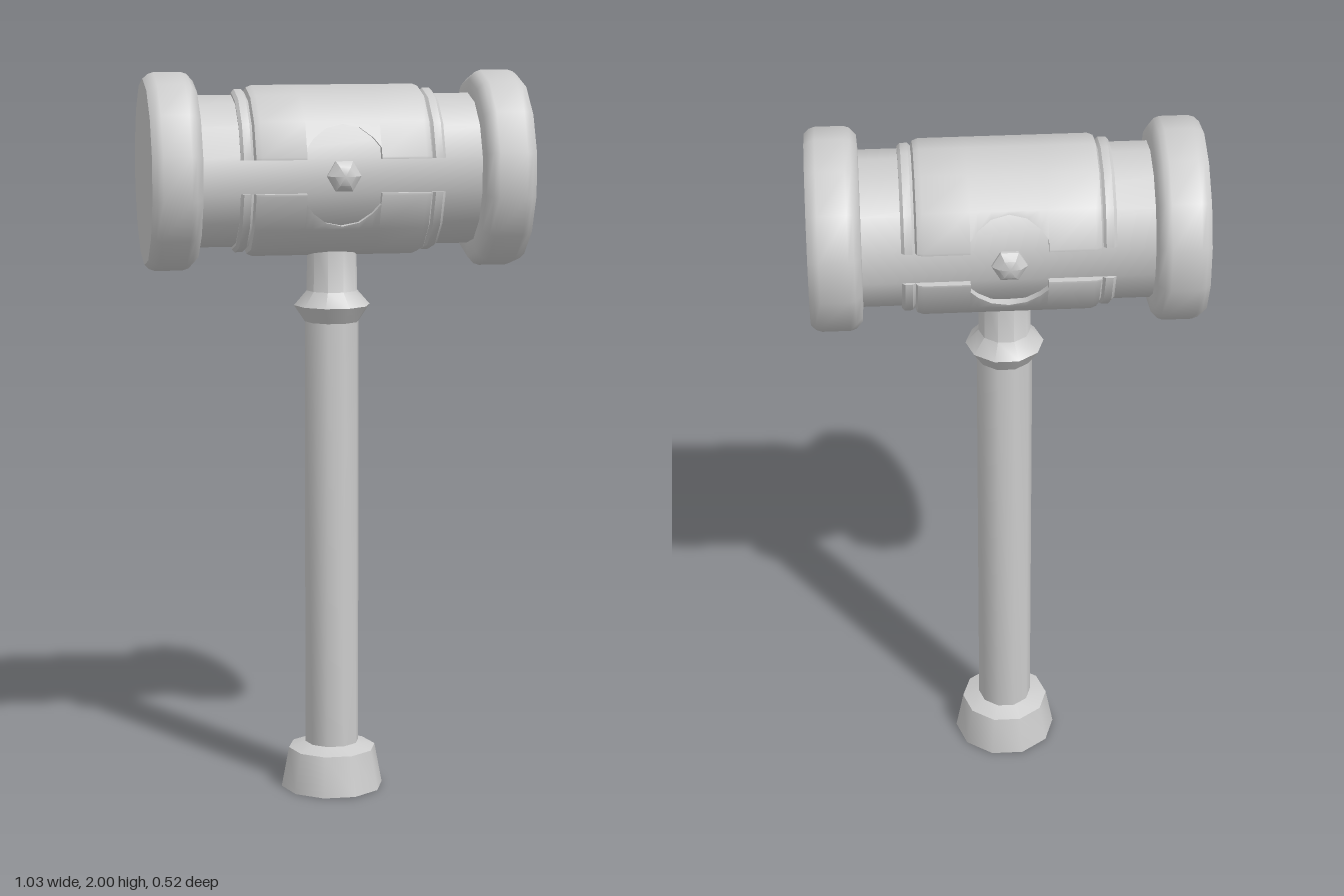
import * as THREE from 'three';
import { toCreasedNormals } from 'three/addons/utils/BufferGeometryUtils.js';

const SIDES = 14;        // facets round the hammer head
const HEAD_Y = 1.733;    // height of the head's axis
const SQUASH = 0.97;     // sleeve is slightly flatter front to back

const metal = new THREE.MeshStandardMaterial({ color: 0xcccccc });
metal.name = 'light grey';

function part(name, geometry, crease = 0.7) {
  const mesh = new THREE.Mesh(toCreasedNormals(geometry, crease), metal);
  mesh.name = name;
  return mesh;
}

// Turned solid from [radius, height] pairs, with a corner on the x axis
function turned(profile, sides) {
  const points = profile.map(([r, y]) => new THREE.Vector2(r, y));
  return new THREE.LatheGeometry(points, sides, Math.PI / 2);
}

// Corner k of the sleeve's cross-section, counted from the top
function corner(k, r) {
  const a = (k * 2 * Math.PI) / SIDES;
  return [r * Math.cos(a), r * Math.sin(a) * SQUASH];
}

// Depth of the faceted cross-section at height y
function depthAt(y, r) {
  for (let k = 0; k < 4; k++) {
    const [y0, z0] = corner(k, r);
    const [y1, z1] = corner(k + 1, r);
    if (y <= y0 && y >= y1) return z0 + ((z1 - z0) * (y0 - y)) / (y0 - y1);
  }
  return 0;
}

// Upper half of the sleeve: cross-sections along x, notched round the stud
function sleeveGeometry() {
  // [x, radius, height of the lower edge above the axis]
  const half = [
    [-0.275, 0.2, 0.045], [-0.275, 0.212, 0.045], [-0.267, 0.22, 0.045],
    [-0.247, 0.22, 0.045], [-0.24, 0.213, 0.045], [-0.235, 0.225, 0.045],
    [-0.22, 0.231, 0.045], [-0.1, 0.231, 0.045], [-0.1, 0.231, 0.075],
    [-0.08, 0.231, 0.1], [-0.045, 0.231, 0.126],
  ];
  const mirrored = half.map(([x, r, e]) => [-x, r, e]).reverse();
  const sections = [...half, [0, 0.231, 0.136], ...mirrored];

  const columns = sections.map(([x, r, edge]) => {
    const sideY = Math.max(edge, corner(3, r)[0]);
    const front = [
      [edge, depthAt(edge, 0.195)],
      [edge, depthAt(edge, r)],
      [sideY, depthAt(sideY, r)],
      corner(2, r),
      corner(1, r),
    ];
    const back = front.map(([y, z]) => [y, -z]).reverse();
    return [...front, [r, 0], ...back].map(([y, z]) => new THREE.Vector3(x, y, z));
  });

  const positions = [];
  const triangle = (a, b, c) => {
    const area = b.clone().sub(a).cross(c.clone().sub(a)).length();
    if (area > 1e-8) for (const p of [a, b, c]) positions.push(p.x, p.y, p.z);
  };
  for (let i = 0; i < columns.length - 1; i++) {
    for (let j = 0; j < columns[i].length - 1; j++) {
      const a = columns[i][j], b = columns[i + 1][j];
      const c = columns[i + 1][j + 1], d = columns[i][j + 1];
      triangle(a, b, c);
      triangle(a, c, d);
    }
  }
  const geometry = new THREE.BufferGeometry();
  geometry.setAttribute('position', new THREE.Float32BufferAttribute(positions, 3));
  return geometry;
}

export function createModel() {
  const model = new THREE.Group();
  model.name = 'mallet';

  // Handle with its pommel and collar
  model.add(part('pommel', turned(
    [[0, 0], [0.143, 0], [0.122, 0.112], [0.075, 0.128]], 10), 0.8));
  model.add(part('handle', turned([[0.075, 0.1], [0.075, 1.33]], 10)));
  model.add(part('collar', turned(
    [[0.075, 1.32], [0.105, 1.365], [0.07, 1.405], [0.068, 1.56]], 10), 0.75));

  const head = new THREE.Group();
  head.name = 'head';
  head.position.y = HEAD_Y;
  model.add(head);

  // Barrel along x
  const barrel = turned([[0.205, -0.4], [0.205, 0.4]], SIDES).rotateZ(-Math.PI / 2);
  head.add(part('barrel', barrel));

  // Striking ends, one at each side
  const rim = [[0.2, 0.375], [0.243, 0.378], [0.262, 0.395], [0.267, 0.41],
    [0.267, 0.485], [0.262, 0.5], [0.25, 0.513], [0, 0.513]];
  for (const [name, turn] of [['leftStrikingEnd', 0], ['rightStrikingEnd', Math.PI]]) {
    const end = part(name, turned(rim, SIDES).rotateZ(-Math.PI / 2), 0.75);
    end.rotation.y = turn;
    head.add(end);
  }

  // Sleeve halves above and below the groove
  for (const [name, turn] of [['upperSleeve', 0], ['lowerSleeve', Math.PI]]) {
    const sleeve = part(name, sleeveGeometry(), 0.65);
    sleeve.rotation.x = turn;
    head.add(sleeve);
  }

  // Six-sided studs on the front and back
  const studProfile = [[0.046, 0.19], [0.046, 0.208], [0.028, 0.226], [0, 0.23]];
  for (const [name, turn] of [['frontStud', 0], ['backStud', Math.PI]]) {
    const stud = part(name, turned(studProfile, 6).rotateX(Math.PI / 2));
    stud.rotation.y = turn;
    head.add(stud);
  }
  return model;
}
